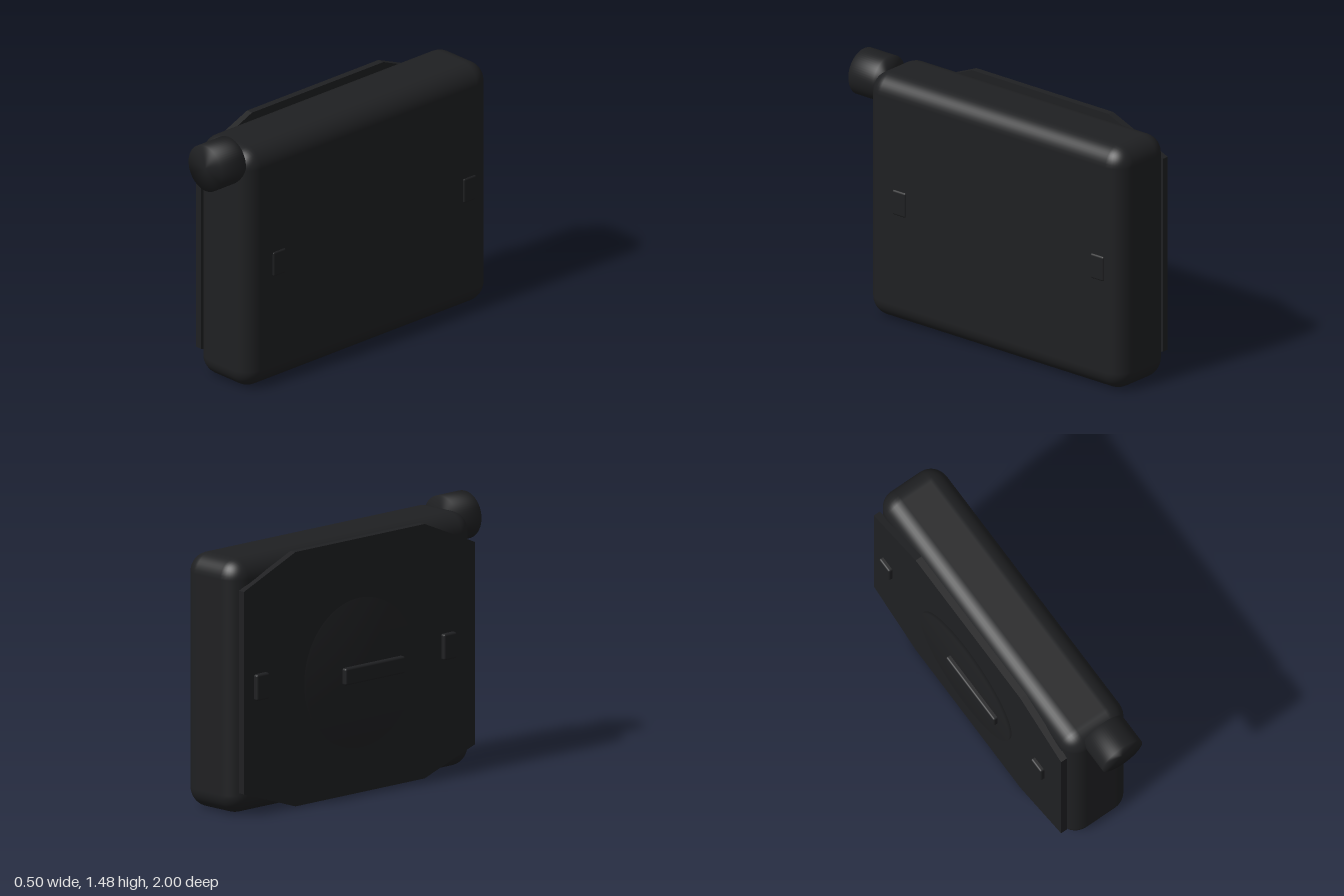
import * as THREE from 'three';
import { RoundedBoxGeometry } from 'three/addons/geometries/RoundedBoxGeometry.js';
import { mergeVertices } from 'three/addons/utils/BufferGeometryUtils.js';

export function createModel() {
  const group = new THREE.Group();
  const material = new THREE.MeshStandardMaterial({ color: 0x1f2022 });

  const add = (name, geometry) => {
    const mesh = new THREE.Mesh(geometry, material);
    mesh.name = name;
    group.add(mesh);
    return mesh;
  };

  // rounded block given by its extents on each axis
  const block = (name, [x0, x1], [y0, y1], [z0, z1], radius, segments = 2) =>
    add(name, new RoundedBoxGeometry(x1 - x0, y1 - y0, z1 - z0, segments, radius))
      .position.set((x0 + x1) / 2, (y0 + y1) / 2, (z0 + z1) / 2);

  // cylinder whose caps share softened normals with its wall
  const softCylinder = (radius, length) => {
    const g = new THREE.CylinderGeometry(radius, radius, length, 64);
    g.deleteAttribute('normal');
    g.deleteAttribute('uv');
    const merged = mergeVertices(g);
    merged.computeVertexNormals();
    return merged;
  };

  // main case
  block('case', [-0.17, 0.24], [0, 1.432], [-1, 0.85], 0.11, 5);

  // knob at the top of the front end
  const knob = add('knob', softCylinder(0.134, 0.18));
  knob.rotation.x = Math.PI / 2;
  knob.position.set(0.072, 1.35, 0.91);

  // side plate with clipped corners, drawn in (-z, y)
  const outline = [
    [-0.81, 0.13], [-0.425, 0], [0.565, 0], [0.96, 0.13],
    [0.96, 1.27], [0.565, 1.432], [-0.425, 1.432], [-0.81, 1.27],
  ].map(([u, v]) => new THREE.Vector2(u, v));
  const plateGeometry = new THREE.ExtrudeGeometry(new THREE.Shape(outline), { depth: 0.04, bevelEnabled: false });
  const plate = add('sidePlate', plateGeometry);
  plate.rotation.y = Math.PI / 2;
  plate.position.x = -0.205;

  // round cover on the plate, with its grip bar
  const cover = add('roundCover', softCylinder(0.42, 0.04));
  cover.rotation.z = Math.PI / 2;
  cover.position.set(-0.203, 0.677, -0.078);
  block('gripBar', [-0.25, -0.2], [0.63, 0.726], [-0.222, 0.236], 0.012);

  // small buttons, a pair on each side
  for (const [end, z] of [['front', 0.602], ['back', -0.833]]) {
    const zRange = [z - 0.049, z + 0.049];
    block(end + 'ButtonRight', [-0.23, -0.18], [0.645, 0.793], zRange, 0.012);
    block(end + 'ButtonLeft', [0.197, 0.247], [0.645, 0.793], zRange, 0.012);
  }

  return group;
}
